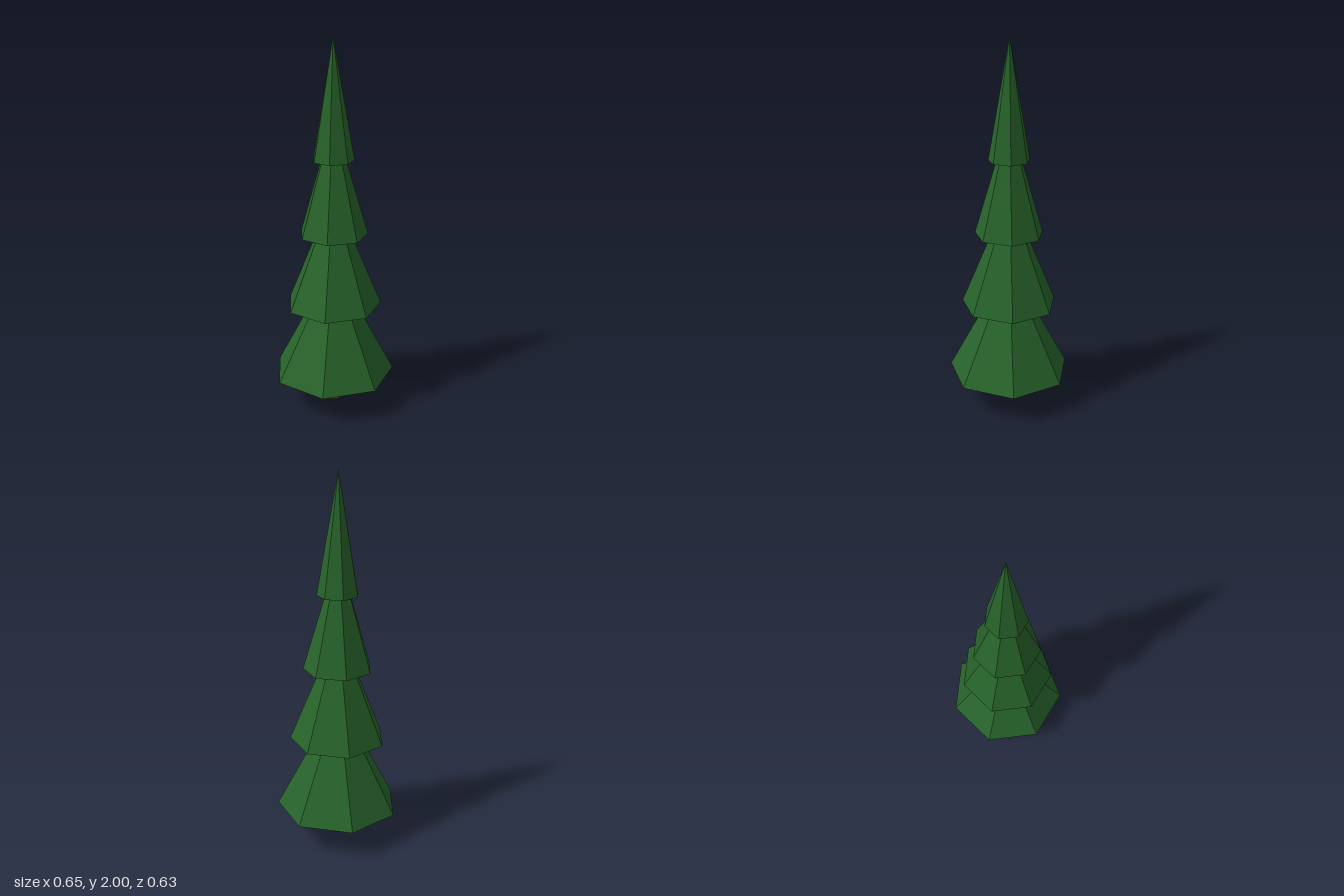
import * as THREE from 'three';

const SIDES = 7;
const CENTRE_Z = -0.0165; // an odd-sided ring sits slightly back to centre its bounds
const TIER_HEIGHT = 0.63;

export function createModel() {
  const foliage = new THREE.MeshStandardMaterial({ color: 0x27632a, flatShading: true, side: THREE.DoubleSide });
  foliage.name = 'foliage green';
  const bark = new THREE.MeshStandardMaterial({ color: 0x6b452b, flatShading: true });
  bark.name = 'bark brown';

  const tree = new THREE.Group();
  tree.name = 'pineTree';

  // Trunk, ending just inside the lowest tier
  const trunkHeight = 0.28;
  const trunk = new THREE.Mesh(new THREE.CylinderGeometry(0.048, 0.048, trunkHeight, SIDES), bark);
  trunk.name = 'trunk';
  trunk.position.set(0, trunkHeight / 2, CENTRE_Z);
  tree.add(trunk);

  // Foliage tiers: hollow cones, narrower towards the top
  const tiers = [
    { radius: 0.333, base: 0.17 },
    { radius: 0.259, base: 0.57 },
    { radius: 0.185, base: 0.97 },
    { radius: 0.111, base: 1.37 },
  ];
  tiers.forEach(({ radius, base }, i) => {
    const tier = new THREE.Mesh(new THREE.ConeGeometry(radius, TIER_HEIGHT, SIDES, 1, true), foliage);
    tier.name = `foliageTier${i + 1}`;
    tier.position.set(0, base + TIER_HEIGHT / 2, CENTRE_Z);
    tree.add(tier);
  });

  return tree;
}
